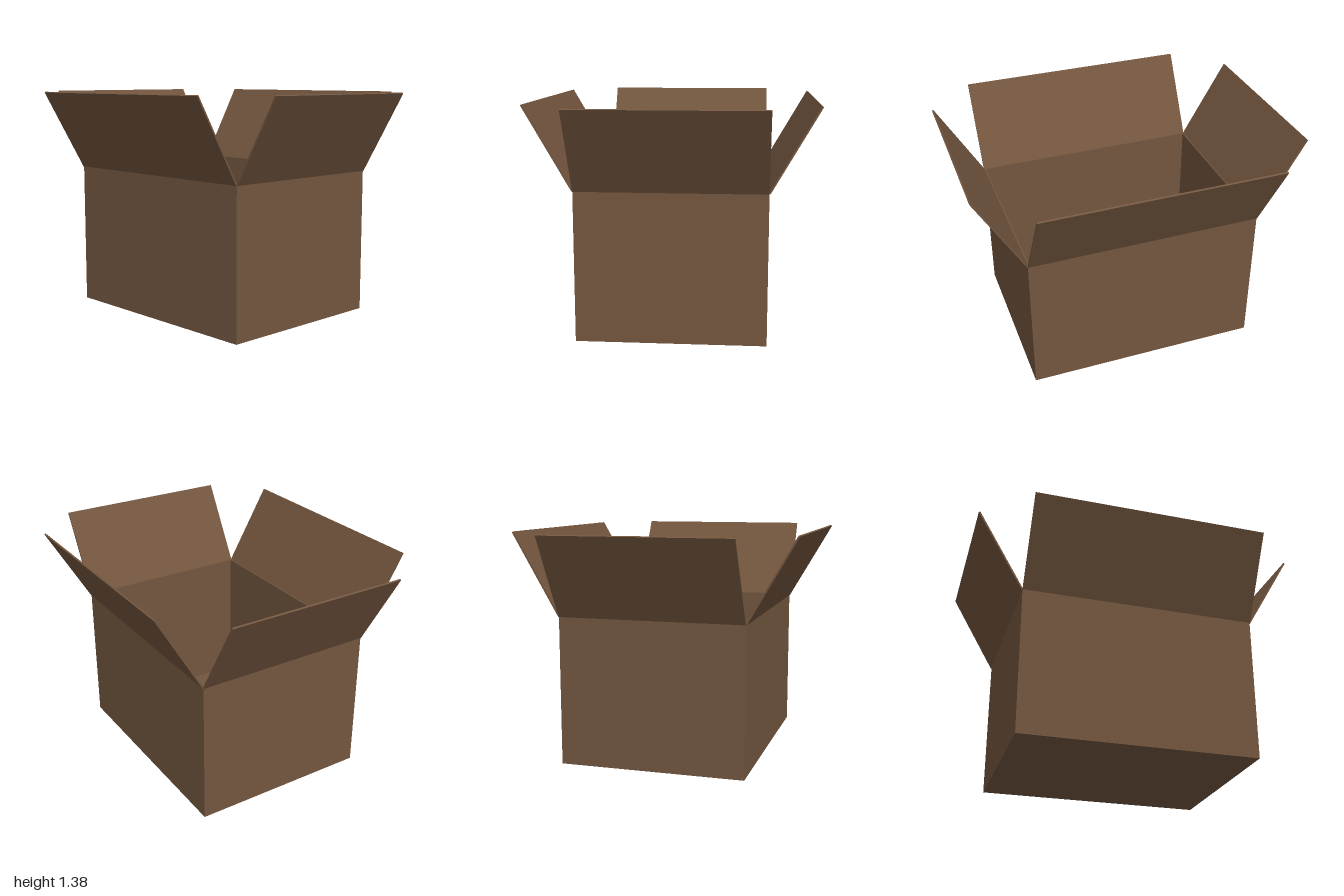
import * as THREE from 'three';

const WIDTH = 1.43, DEPTH = 1.11, HEIGHT = 0.893, THICK = 0.01;
const FLAP_LENGTH = 0.56, FLAP_TILT = Math.PI / 6;

export function createModel() {
  const model = new THREE.Group();
  model.name = 'openCardboardBox';
  const cardboard = new THREE.MeshStandardMaterial({ color: 0x73563f });

  const panel = (name, w, h, d, x, y, z) => {
    const geometry = new THREE.BoxGeometry(w, h, d).translate(x, y, z);
    const mesh = new THREE.Mesh(geometry, cardboard);
    mesh.name = name;
    return mesh;
  };

  // Bottom, fitted between the walls
  model.add(panel('bottom', WIDTH - 2 * THICK, THICK, DEPTH - 2 * THICK, 0, THICK / 2, 0));

  // Each side is a wall with a flap hinged at its top edge, built facing +z and turned
  const sides = [
    ['front', 0, WIDTH, WIDTH, DEPTH / 2],
    ['left', 1, DEPTH, DEPTH - 2 * THICK, WIDTH / 2],
    ['back', 2, WIDTH, WIDTH, DEPTH / 2],
    ['right', 3, DEPTH, DEPTH - 2 * THICK, WIDTH / 2],
  ];
  for (const [name, turns, flapWidth, wallWidth, distance] of sides) {
    const side = new THREE.Group();
    side.name = name + 'Side';
    side.rotation.y = turns * Math.PI / 2;
    side.add(panel(name + 'Wall', wallWidth, HEIGHT, THICK, 0, HEIGHT / 2, distance - THICK / 2));

    // Flap leaning outwards from its hinge
    const flap = panel(name + 'Flap', flapWidth, FLAP_LENGTH, THICK, 0, FLAP_LENGTH / 2, -THICK / 2);
    flap.position.set(0, HEIGHT - 0.007, distance + 0.005);
    flap.rotation.x = FLAP_TILT;
    side.add(flap);
    model.add(side);
  }
  return model;
}
